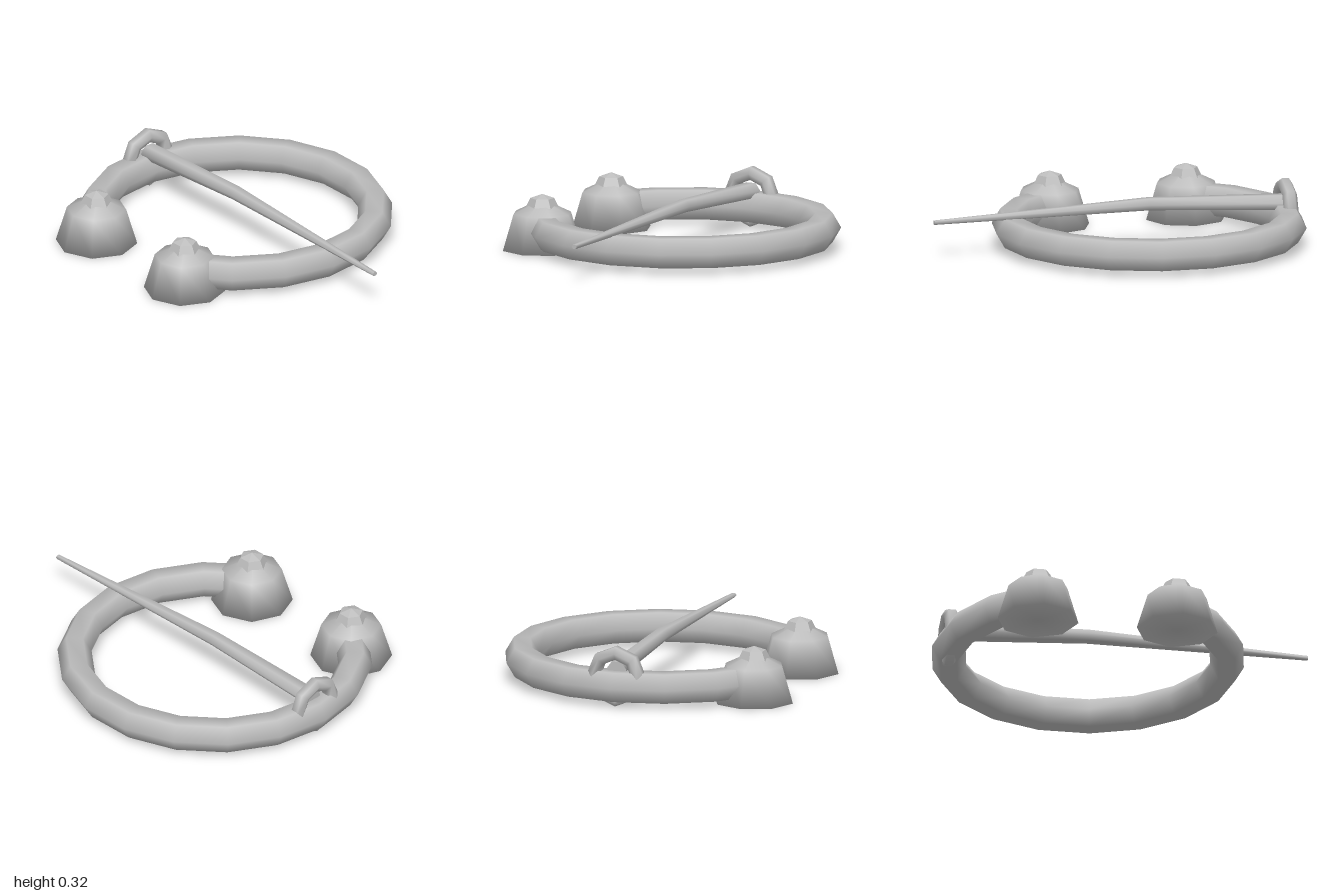
import * as THREE from 'three';
import { toCreasedNormals } from 'three/addons/utils/BufferGeometryUtils.js';

const RAD = Math.PI / 180;
const metal = new THREE.MeshStandardMaterial({ color: 0xbcbcbc });
metal.name = 'grey metal';
const facetedMetal = metal.clone();
facetedMetal.flatShading = true;

function part(name, geometry, material = metal) {
  const mesh = new THREE.Mesh(geometry, material);
  mesh.name = name;
  return mesh;
}

const profile = (pairs) => pairs.map(([r, y]) => new THREE.Vector2(r, y));

export function createModel() {
  const group = new THREE.Group();
  group.name = 'ringBrooch';
  const centreX = -0.17, centreZ = -0.02, ringRadius = 0.74;

  // Open hexagonal ring, with its gap facing the front
  const ring = new THREE.TorusGeometry(ringRadius, 0.09, 6, 15, 300 * RAD);
  ring.rotateZ(120 * RAD).rotateX(Math.PI / 2).translate(centreX, 0.112, centreZ);
  group.add(part('ring', ring));

  // Domed terminals with small faceted studs on the ring ends
  const dome = new THREE.LatheGeometry(profile([[0, 0], [0.215, 0], [0.157, 0.193], [0, 0.27]]), 8);
  const stud = new THREE.LatheGeometry(profile([[0, 0.215], [0.09, 0.218], [0.063, 0.273], [0, 0.295]]), 6);
  stud.rotateY(30 * RAD);
  for (const [side, angle] of [['left', 60], ['right', 120]]) {
    const terminal = new THREE.Group();
    terminal.name = side + 'Terminal';
    terminal.position.set(
      centreX + ringRadius * Math.cos(angle * RAD), 0,
      centreZ + ringRadius * Math.sin(angle * RAD));
    terminal.add(part(side + 'Dome', dome), part(side + 'Stud', stud, facetedMetal));
    group.add(terminal);
  }

  // Hinge loop wrapped round the ring: hexagonal section, eight segments
  const section = [];
  for (let i = 0; i <= 6; i++) {
    const a = i * 60 * RAD;
    section.push([0.125 + 0.04 * Math.sin(a), -0.04 * Math.cos(a)]);
  }
  const loop = new THREE.LatheGeometry(profile(section), 8);
  loop.rotateZ(Math.PI / 2).translate(-0.91, 0.165, -0.018);
  group.add(part('hingeLoop', toCreasedNormals(loop, 1.3)));

  // Tapered pin, slightly bent upward in the middle: [x, y, radius]
  const stations = [[-0.9, 0.2, 0.05], [-0.17, 0.229, 0.04], [1, 0.192, 0.0135]];
  const pin = new THREE.CylinderGeometry(1, 1, 2, 6, 2);
  pin.rotateZ(-Math.PI / 2);
  const p = pin.attributes.position;
  for (let i = 0; i < p.count; i++) {
    const [x, y, r] = stations[Math.round(p.getX(i)) + 1];
    p.setXYZ(i, x, y + p.getY(i) * r * 0.9, -0.02 + p.getZ(i) * r * 1.1);
  }
  group.add(part('pin', toCreasedNormals(pin, 1.25)));

  return group;
}
